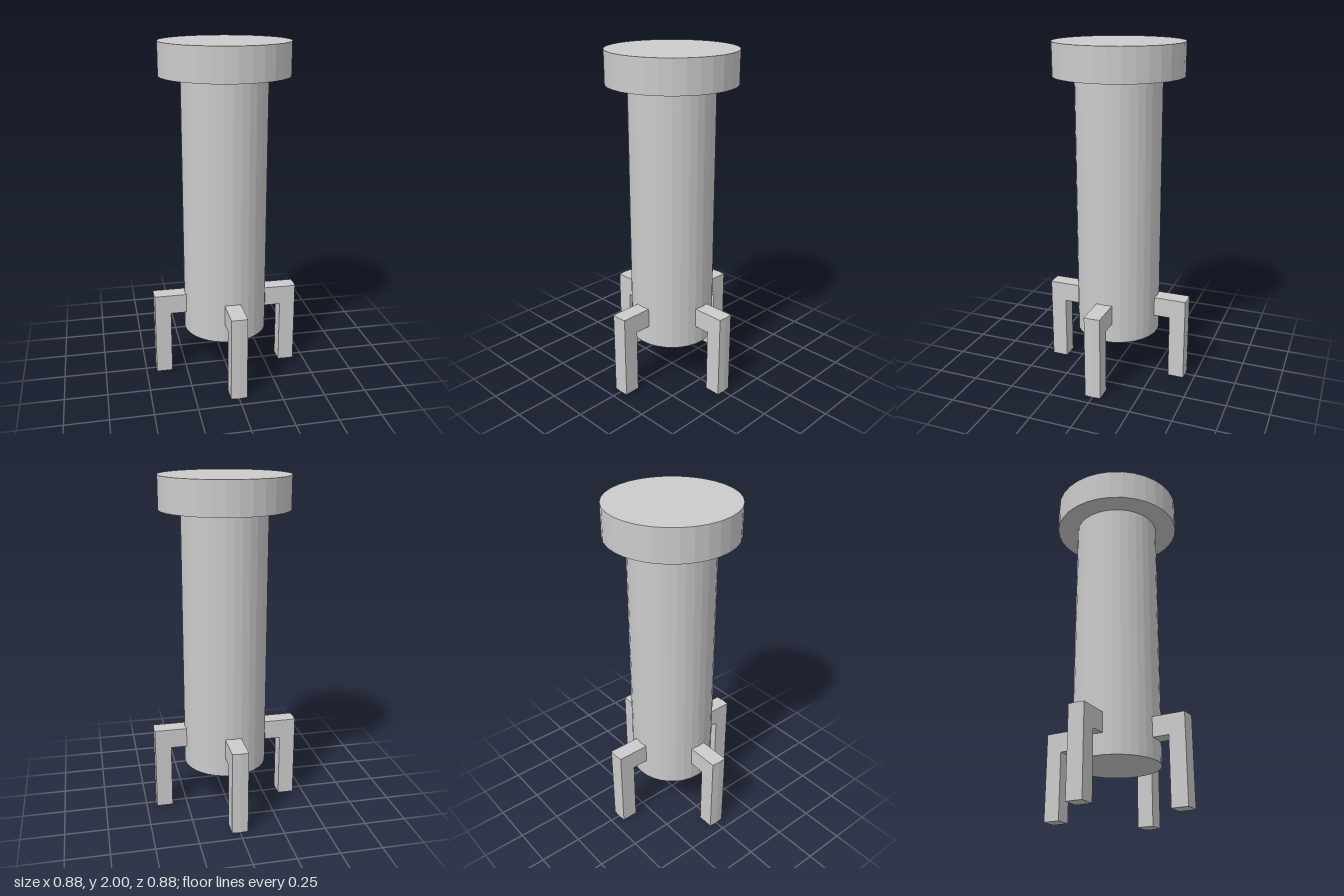
import * as THREE from 'three';

const material = new THREE.MeshStandardMaterial({ color: 0xcccccc, flatShading: true });

// Upright 32-sided cylinder between two heights
function column(name, radius, bottom, top) {
  const mesh = new THREE.Mesh(new THREE.CylinderGeometry(radius, radius, top - bottom, 32), material);
  mesh.position.y = (bottom + top) / 2;
  mesh.name = name;
  return mesh;
}

// Angled leg: arm out of the body, then a post down to the ground
function legGeometry() {
  const outer = 0.441, halfWidth = 0.048;
  const profile = new THREE.Shape([
    [0.22, 0.39], [0.341, 0.39], [0.341, 0], [outer, 0], [outer, 0.507], [0.22, 0.507],
  ].map(([x, y]) => new THREE.Vector2(x, y)));
  const geometry = new THREE.ExtrudeGeometry(profile, { depth: 2 * halfWidth, steps: 2, bevelEnabled: false });
  geometry.translate(0, 0, -halfWidth);
  // Bow the outer face: its side edges sit slightly further in
  const p = geometry.attributes.position;
  for (let i = 0; i < p.count; i++) {
    if (p.getX(i) > 0.43 && Math.abs(p.getZ(i)) > 0.01) p.setX(i, outer - 0.004);
  }
  geometry.computeVertexNormals();
  return geometry;
}

export function createModel() {
  const model = new THREE.Group();
  model.name = 'column on legs';
  model.add(column('body', 0.25, 0.27, 1.81));
  model.add(column('cap', 0.375, 1.81, 2));

  // Four legs, one every quarter turn
  const geometry = legGeometry();
  ['leftLeg', 'backLeg', 'rightLeg', 'frontLeg'].forEach((name, i) => {
    const leg = new THREE.Mesh(geometry, material);
    leg.name = name;
    leg.rotation.y = i * Math.PI / 2;
    model.add(leg);
  });
  return model;
}
